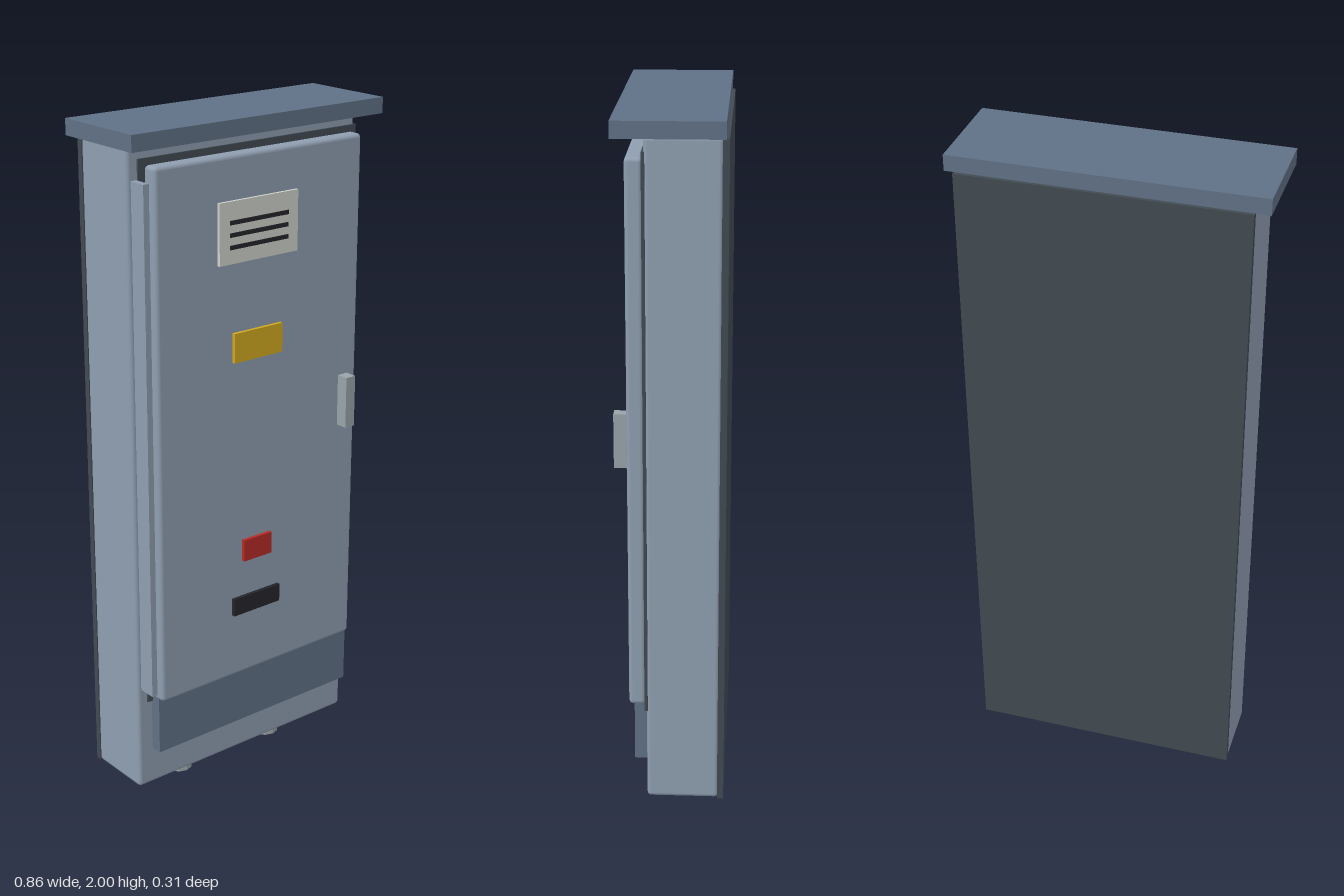
import * as THREE from 'three';
import { RoundedBoxGeometry } from 'three/addons/geometries/RoundedBoxGeometry.js';

const paint = (color) => new THREE.MeshStandardMaterial({ color });
const shell = paint(0x8f9eb0), trim = paint(0x607186), seal = paint(0x414a52);
const steel = paint(0x98a3a8), black = paint(0x25262b);

export function createModel() {
  const cabinet = new THREE.Group();
  cabinet.name = 'electricalCabinet';

  // Box given by its limits on each axis; a radius rounds its edges
  function box(name, material, [x0, x1], [y0, y1], [z0, z1], radius = 0) {
    const size = [x1 - x0, y1 - y0, z1 - z0];
    const geometry = radius
      ? new RoundedBoxGeometry(...size, 2, radius)
      : new THREE.BoxGeometry(...size);
    const mesh = new THREE.Mesh(geometry, material);
    mesh.name = name;
    mesh.position.set((x0 + x1) / 2, (y0 + y1) / 2, (z0 + z1) / 2);
    cabinet.add(mesh);
    return mesh;
  }

  // Enclosure with back plate and overhanging roof
  box('body', shell, [-0.388, 0.402], [0.058, 1.957], [-0.139, 0.065], 0.012);
  box('backPlate', seal, [-0.388, 0.404], [0.058, 1.954], [-0.153, -0.135]);
  box('roof', trim, [-0.43, 0.43], [1.955, 2], [-0.145, 0.148]);

  // Door with its seal, hinge strip and the panel below
  box('doorSeal', seal, [-0.355, 0.402], [0.335, 1.917], [0.062, 0.071]);
  box('door', shell, [-0.337, 0.385], [0.345, 1.9], [0.068, 0.116], 0.012);
  box('hingeStrip', shell, [-0.375, -0.357], [0.38, 1.862], [0.063, 0.119]);
  box('lowerPanel', trim, [-0.338, 0.385], [0.175, 0.352], [0.062, 0.1]);

  // Vent with three slots
  box('ventPlate', paint(0xcfd2ca), [-0.131, 0.144], [1.606, 1.778], [0.112, 0.125]);
  for (let i = 0; i < 3; i++) {
    const y = 1.652 + i * 0.034;
    box('ventSlot', black, [-0.096, 0.109], [y - 0.006, y + 0.006], [0.12, 0.127]);
  }

  // Plates on the door
  box('warningPlate', paint(0xd0a820), [-0.08, 0.091], [1.323, 1.408], [0.112, 0.127]);
  box('redPlate', paint(0xb52a25), [-0.043, 0.059], [0.712, 0.778], [0.112, 0.127]);
  box('blackPlate', black, [-0.08, 0.091], [0.546, 0.6], [0.112, 0.127]);

  box('handle', steel, [0.316, 0.35], [1.048, 1.202], [0.112, 0.153]);

  // Cable glands under the body
  for (const x of [-0.165, 0.179]) {
    const gland = new THREE.Mesh(
      new THREE.CylinderGeometry(0.041, 0.041, 0.07, 10),
      new THREE.MeshStandardMaterial({ color: 0x98a3a8, flatShading: true })
    );
    gland.name = 'cableGland';
    gland.position.set(x, 0.035, -0.039);
    cabinet.add(gland);
  }

  return cabinet;
}
